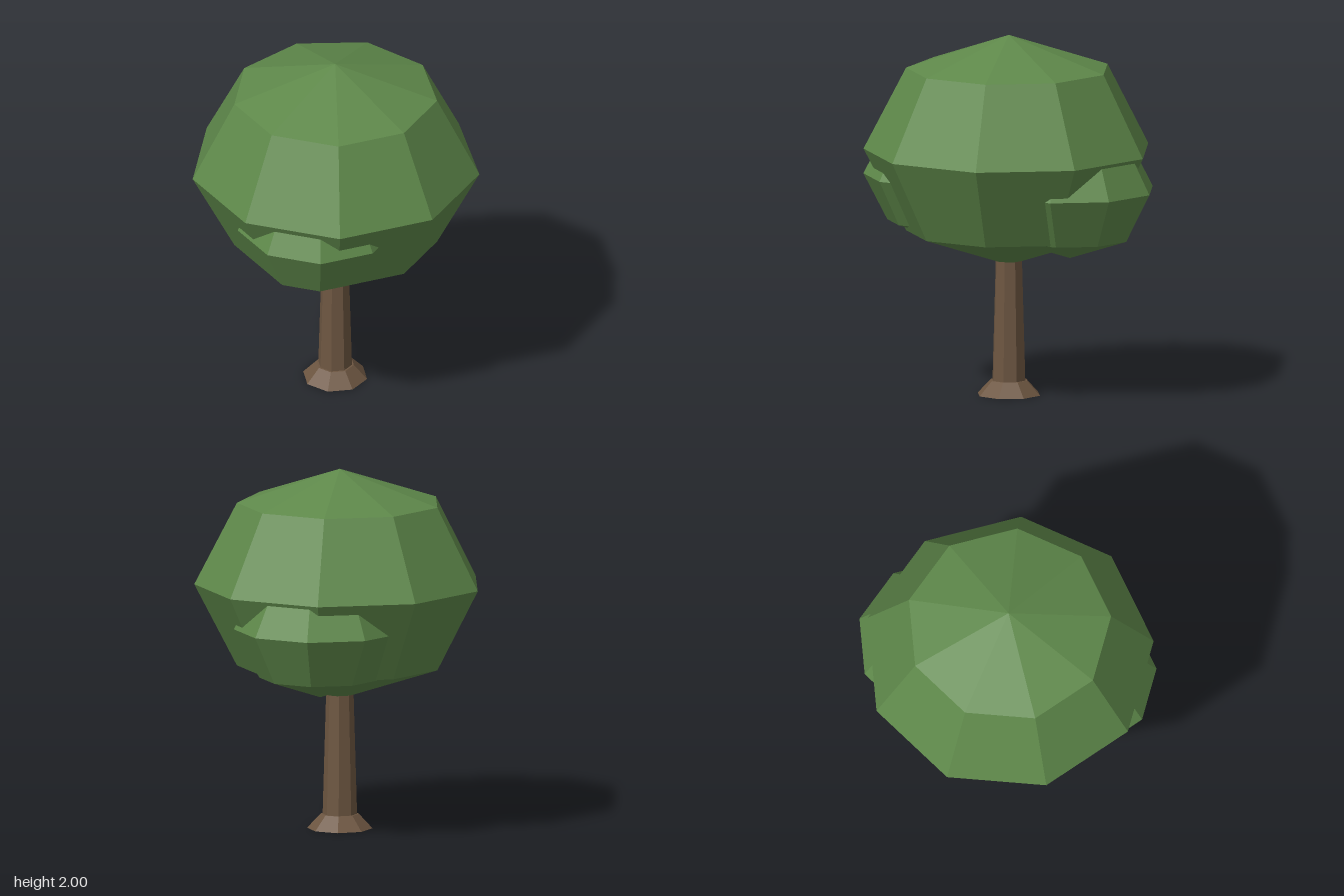
import * as THREE from 'three';

const CX = -0.027; // trunk and crown axis

export function createModel() {
  const tree = new THREE.Group();
  tree.name = 'tree';

  const leafGreen = new THREE.MeshStandardMaterial({ color: 0x5e884a, flatShading: true });
  leafGreen.name = 'leafGreen';
  const barkBrown = new THREE.MeshStandardMaterial({ color: 0x6d5641, flatShading: true });
  barkBrown.name = 'barkBrown';

  const add = (name, geometry, material, x, y, z) => {
    const mesh = new THREE.Mesh(geometry, material);
    mesh.name = name;
    mesh.position.set(x, y, z);
    tree.add(mesh);
    return mesh;
  };

  // Flared root collar and tapering trunk, eight sides each
  add('rootFlare', new THREE.CylinderGeometry(0.105, 0.18, 0.08, 8), barkBrown, CX, 0.04, 0);
  add('trunk', new THREE.CylinderGeometry(0.072, 0.096, 0.84, 8), barkBrown, CX, 0.46, 0);

  // Foliage: squashed nine-sided low-poly spheres, one corner facing +x
  const foliage = (name, radius, x, y, z) => {
    const geometry = new THREE.SphereGeometry(radius, 9, 4);
    geometry.rotateY(Math.PI);
    geometry.scale(1, 0.8, 1);
    add(name, geometry, leafGreen, x, y, z);
  };
  foliage('crown', 0.8, CX, 1.36, 0);
  foliage('backLeftLobe', 0.475, 0.3, 1.17, -0.21);
  foliage('frontRightLobe', 0.45, -0.297, 1.205, 0.256);

  return tree;
}
